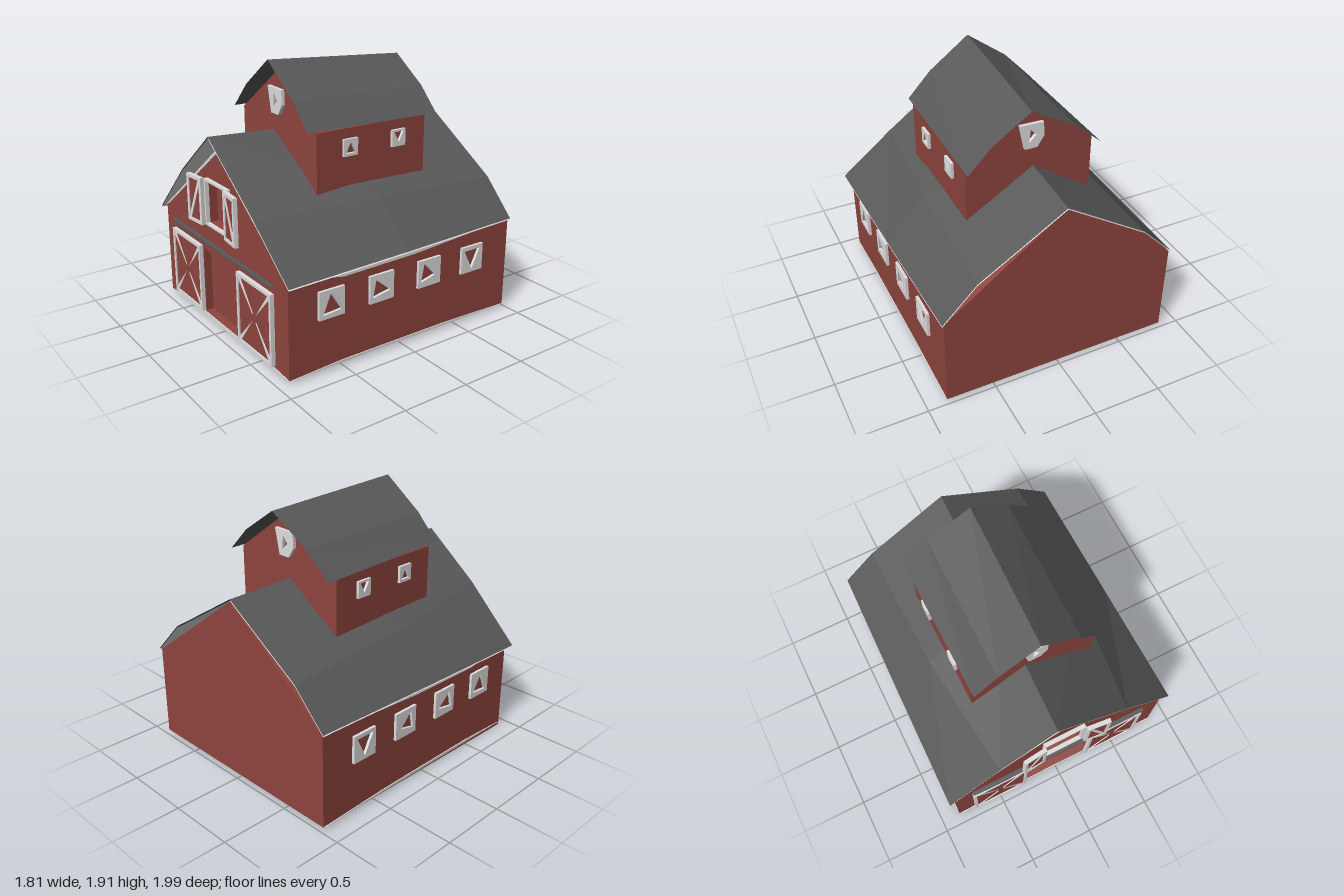
import * as THREE from 'three';

const mat = (name, color) => {
  const m = new THREE.MeshStandardMaterial({ color, side: THREE.DoubleSide });
  m.name = name;
  return m;
};

export function createModel() {
  const barn = new THREE.Group();
  barn.name = 'barn';
  const red = mat('barn red', 0x8f443e);
  const white = mat('trim white', 0xdedede);
  const grey = mat('roof grey', 0x595959);

  const add = (parent, name, geo, material, x = 0, y = 0, z = 0) => {
    const m = new THREE.Mesh(geo, material);
    m.name = name;
    m.position.set(x, y, z);
    parent.add(m);
    return m;
  };
  const group = (parent, name, x = 0, y = 0, z = 0, ry = 0) => {
    const g = new THREE.Group();
    g.name = name;
    g.position.set(x, y, z);
    g.rotation.y = ry;
    parent.add(g);
    return g;
  };
  const box = (parent, name, w, h, d, x, y, z, material) =>
    add(parent, name, new THREE.BoxGeometry(w, h, d), material, x, y, z);
  const vecs = pts => pts.map(p => new THREE.Vector2(p[0], p[1]));
  const rect = (x0, y0, x1, y1) => [[x0, y0], [x1, y0], [x1, y1], [x0, y1]];

  // Flat polygon, with optional holes, pushed out along z
  const slab = (pts, depth, holes = []) => {
    const s = new THREE.Shape(vecs(pts));
    holes.forEach(h => s.holes.push(new THREE.Path(vecs(h))));
    return new THREE.ExtrudeGeometry(s, { depth, bevelEnabled: false });
  };
  // Bar between two points in the xy plane
  const bar = (parent, name, a, b, width, depth, z, material) => {
    const dx = b[0] - a[0], dy = b[1] - a[1];
    const m = box(parent, name, Math.hypot(dx, dy), width, depth,
      (a[0] + b[0]) / 2, (a[1] + b[1]) / 2, z, material);
    m.rotation.z = Math.atan2(dy, dx);
  };
  // Faceted sheet through cross-sections, each { z, pts }
  const sheet = (sections, drop = 0) => {
    const v = [];
    const at = (i, j) => [sections[i].pts[j][0], sections[i].pts[j][1] - drop, sections[i].z];
    for (let i = 0; i < sections.length - 1; i++) {
      for (let j = 0; j < sections[i].pts.length - 1; j++) {
        const a = at(i, j), b = at(i, j + 1), c = at(i + 1, j + 1), d = at(i + 1, j);
        v.push(...a, ...b, ...c, ...a, ...c, ...d);
      }
    }
    const g = new THREE.BufferGeometry();
    g.setAttribute('position', new THREE.Float32BufferAttribute(v, 3));
    g.computeVertexNormals();
    return g;
  };
  // The ground line rises slightly away from the front left corner
  const settle = geo => {
    const p = geo.attributes.position;
    for (let i = 0; i < p.count; i++) {
      if (p.getY(i) < 0.005 && (p.getX(i) > 0 || p.getZ(i) < -0.5)) p.setY(i, 0.025);
    }
    geo.computeVertexNormals();
    return geo;
  };

  // Main walls: solid back volume plus a front wall with door and hatch openings
  const gable = [[-0.855, 0], [0.855, 0], [0.855, 0.71], [0, 1.34], [-0.855, 0.71]];
  const hatch = rect(-0.145, 0.79, 0.145, 1.1);
  add(barn, 'mainWalls', settle(slab(gable, 1.84).translate(0, 0, -0.98)), red);
  add(barn, 'frontWall', settle(slab(gable, 0.06,
    [rect(-0.28, 0.05, 0.28, 0.55), hatch])), red, 0, 0, 0.86);

  // Foundation strips, tapering to the corners
  add(barn, 'frontFoundation', slab([[-0.85, 0.005], [0.85, 0.028], [0.6, 0.045], [-0.5, 0.045]], 0.006),
    white, 0, 0, 0.92);
  for (const s of [-1, 1]) {
    const side = group(barn, s > 0 ? 'leftSide' : 'rightSide', s * 0.855, 0, 0, s * Math.PI / 2);
    // u runs backwards on the +x side and forwards on the -x side
    add(side, 'sideFoundation', slab([[-0.9 * s, 0.025], [0.97 * s, 0.027], [0.4 * s, 0.045], [-0.5 * s, 0.045]], 0.006), white);
    add(side, 'eaveTrim', slab([[-0.7 * s, 0.685], [-0.5 * s, 0.645], [0.1 * s, 0.655], [0.9 * s, 0.71]], 0.008), white);

    // Lower windows, each frame pierced by an angular opening
    const holes = [
      [[-0.07, -0.07], [0.075, -0.06], [-0.01, 0.075]],
      [[-0.075, -0.06], [0.07, -0.035], [-0.05, 0.065]],
      [[-0.075, -0.06], [0.05, -0.03], [-0.05, 0.075]],
      [[0, -0.075], [0.07, 0.07], [-0.075, 0.07]]];
    [0.6, 0.195, -0.22, -0.62].forEach((z, i) => {
      add(side, 'sideWindow', slab(rect(-0.1, -0.1, 0.1, 0.1), 0.02,
        [holes[i].map(p => [p[0] * s, p[1]])]), white, -z * s, 0.49, 0);
    });
    // Loft windows
    [0.175, -0.235].forEach((z, i) => {
      const h = i ? [[0, -0.03], [0.04, 0.045], [-0.04, 0.045]] : [[-0.04, -0.04], [0.04, -0.04], [0, 0.045]];
      add(side, 'loftWindow', slab(rect(-0.058, -0.06, 0.058, 0.06), 0.02, [h]), white, -z * s, 1.36, -0.385);
    });
  }

  // Main roof with pale lining, sagging toward the back
  const mainRoof = [
    { z: 0.945, pts: [[-0.905, 0.69], [-0.5, 1.09], [-0.08, 1.425], [0.5, 1.01], [0.905, 0.69]] },
    { z: 0, pts: [[-0.89, 0.7], [-0.6, 1.01], [-0.04, 1.39], [0.6, 1.01], [0.89, 0.7]] },
    { z: -0.99, pts: [[-0.87, 0.715], [-0.62, 0.97], [-0.01, 1.36], [0.62, 0.97], [0.87, 0.715]] }];
  add(barn, 'mainRoof', sheet(mainRoof), grey);
  add(barn, 'mainRoofLining', sheet(mainRoof, 0.01), white);
  add(barn, 'rakeTrim', slab([[-0.86, 0.71], [-0.8, 0.74], [0, 1.325], [0.8, 0.74], [0.86, 0.71],
    [0, 1.35]], 0.008), white, 0, 0, 0.92);

  // Raised loft
  add(barn, 'loftWalls', slab([[-0.47, 1.0], [0.47, 1.0], [0.47, 1.49], [0, 1.83], [-0.47, 1.49]], 0.92),
    red, 0, 0, -0.48);
  const loftRoof = [
    { z: 0.515, pts: [[-0.475, 1.505], [-0.3, 1.69], [0, 1.91], [0.3, 1.69], [0.475, 1.505]] },
    { z: -0.57, pts: [[-0.49, 1.487], [-0.29, 1.66], [0.04, 1.85], [0.32, 1.66], [0.49, 1.487]] }];
  add(barn, 'loftRoof', sheet(loftRoof), grey);
  for (const s of [1, -1]) {
    const g = group(barn, 'loftGable', 0, 1.625, s > 0 ? 0.44 : -0.48, s > 0 ? 0 : Math.PI);
    add(g, 'gableWindow', slab([[-0.05, -0.095], [0.04, -0.095], [0.09, -0.02], [0.085, 0.085], [-0.09, 0.09]], 0.025,
      [[[-0.02, -0.05], [0.03, 0], [-0.01, 0.05]]]), white);
  }

  // Sliding doors: red panel, pale frame and slim cross braces
  for (const x of [-0.5, 0.47]) {
    const door = group(barn, 'slidingDoor', x, 0.312, 0.92);
    box(door, 'doorPanel', 0.43, 0.5, 0.02, 0, 0, 0.01, red);
    add(door, 'doorFrame', slab(rect(-0.22, -0.258, 0.22, 0.258), 0.03,
      [rect(-0.198, -0.236, 0.198, 0.236)]), white);
    for (const a of [-1, 1]) for (const b of [-1, 1]) {
      add(door, 'doorBrace', slab([[a * 0.02, b * 0.025], [a * 0.198, b * 0.215],
        [a * 0.198, b * 0.236], [a * 0.18, b * 0.236]], 0.006), white, 0, 0, 0.02);
    }
  }
  add(barn, 'doorTrack', slab([[-0.72, 0.64], [-0.6, 0.62], [0.6, 0.618], [0.7, 0.63]], 0.03),
    grey, 0, 0, 0.92);

  // Hay hatch frame and the two open shutters
  add(barn, 'hatchFrame', slab(rect(-0.16, 0.775, 0.16, 1.115), 0.03, [hatch]), white, 0, 0, 0.92);
  for (const s of [-1, 1]) {
    const shutter = group(barn, 'hatchShutter', s * 0.247, 0.945, 0.972, -s * 0.1);
    box(shutter, 'shutterPanel', 0.16, 0.32, 0.016, 0, 0, 0, red);
    add(shutter, 'shutterFrame', slab(rect(-0.088, -0.172, 0.088, 0.172), 0.03,
      [rect(-0.064, -0.148, 0.064, 0.148)]), white, 0, 0, -0.015);
    bar(shutter, 'shutterBrace', [-s * 0.06, 0.14], [s * 0.06, -0.14], 0.024, 0.026, 0, white);
  }
  return barn;
}
